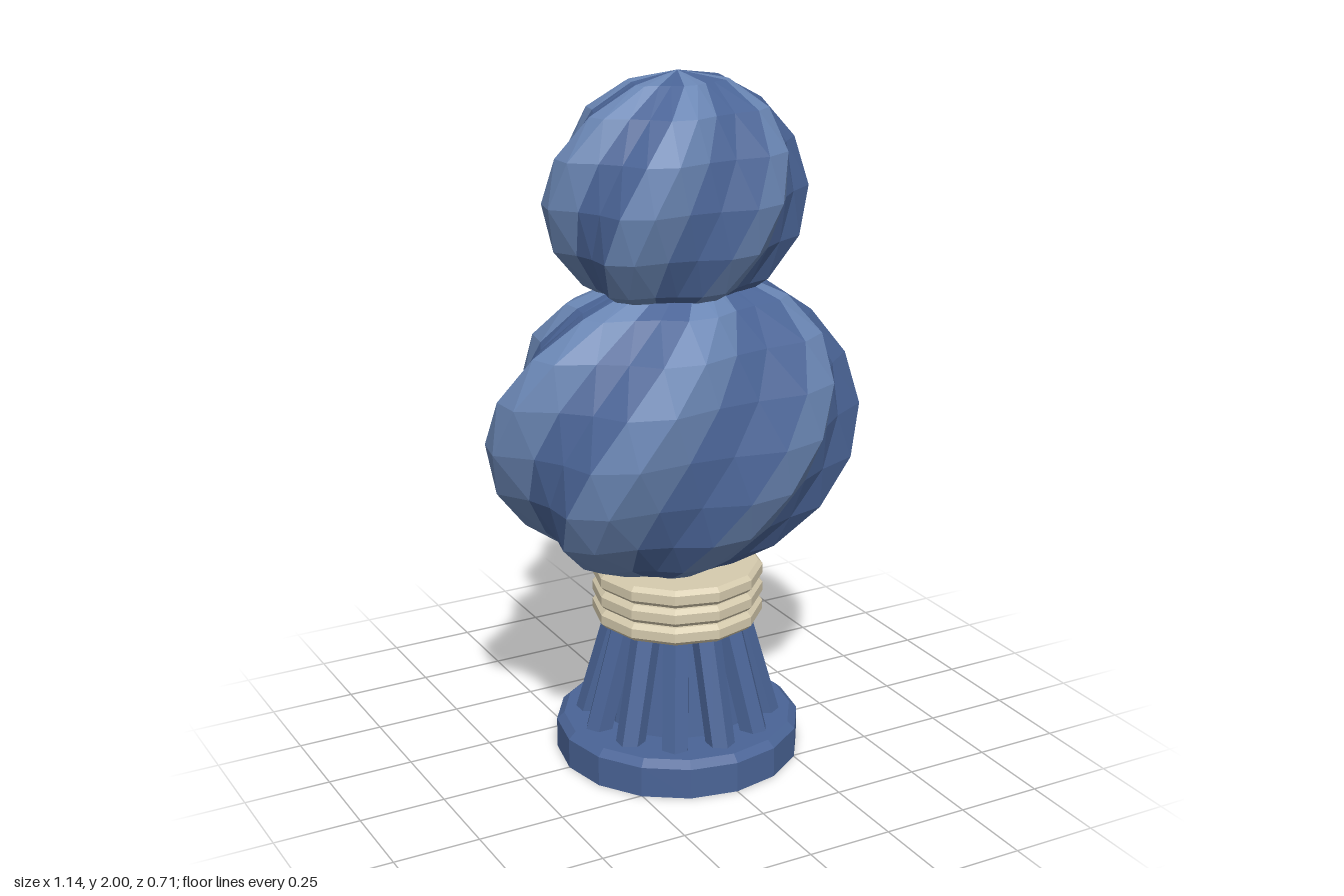
import * as THREE from 'three';

const faceted = (geo) => {
  const g = geo.index ? geo.toNonIndexed() : geo;
  g.computeVertexNormals();
  return g;
};

// Flattened ball with six winding ridges; material 1 marks the lighter stripes
function swirlBall(rows, rx, ry, rz) {
  const cols = 24, step = (Math.PI * 2) / cols, twist = 0.183;
  const geo = new THREE.SphereGeometry(1, cols, rows);
  const pos = geo.attributes.position;
  for (let j = 0; j <= rows; j++) {
    const lat = Math.PI / 2 - (j / rows) * Math.PI;
    for (let i = 0; i <= cols; i++) {
      const ridge = i % 4 === 0 || i % 4 === 3;
      const r = Math.cos(lat) * (ridge ? 1 : 0.88);
      const a = Math.PI - i * step + (j - rows / 2) * twist;
      pos.setXYZ(j * (cols + 1) + i, rx * r * Math.cos(a), ry * Math.sin(lat), rz * r * Math.sin(a));
    }
  }
  let start = 0;
  for (let j = 0; j < rows; j++) {
    const count = j === 0 || j === rows - 1 ? 3 : 6; // single triangles at the poles
    for (let i = 0; i < cols; i++, start += count) {
      geo.addGroup(start, count, i % 4 === 0 || i % 4 === 3 ? 1 : 0);
    }
  }
  return faceted(geo);
}

const lathe = (points, sides) =>
  faceted(new THREE.LatheGeometry(points.map(([r, y]) => new THREE.Vector2(r, y)), sides));

export function createModel() {
  const material = (name, color) => {
    const m = new THREE.MeshStandardMaterial({ color });
    m.name = name;
    return m;
  };
  const blue = material('slate blue', 0x4a6496);
  const paleBlue = material('pale blue', 0x6a86b4);
  const cream = material('cream', 0xd6cbae);

  const model = new THREE.Group();
  model.name = 'topiary';
  const add = (name, geo, mat, y = 0, parent = model) => {
    const mesh = new THREE.Mesh(geo, mat);
    mesh.name = name;
    mesh.position.y = y;
    parent.add(mesh);
    return mesh;
  };

  // Bevelled foot
  add('base', lathe([[0, 0], [0.357, 0], [0.357, 0.09], [0.335, 0.11], [0, 0.11]], 16), blue);

  // Ring of leaning struts round a core
  const struts = new THREE.Group();
  struts.name = 'struts';
  model.add(struts);
  add('core', faceted(new THREE.CylinderGeometry(0.15, 0.21, 0.36, 12)), blue, 0.27, struts);
  const up = new THREE.Vector3(0, 1, 0);
  for (let i = 0; i < 12; i++) {
    const a = (i / 12) * Math.PI * 2;
    const foot = new THREE.Vector3(Math.sin(a) * 0.262, 0.09, Math.cos(a) * 0.262);
    const head = new THREE.Vector3(Math.sin(a) * 0.16, 0.45, Math.cos(a) * 0.16);
    const dir = head.clone().sub(foot);
    const geo = faceted(new THREE.CylinderGeometry(0.042, 0.042, dir.length(), 6).rotateY(a));
    const strut = add('strut', geo, blue, 0, struts);
    strut.position.copy(foot).add(head).multiplyScalar(0.5);
    strut.quaternion.setFromUnitVectors(up, dir.normalize());
  }

  // Three stacked collar rings
  for (let i = 0; i < 3; i++) {
    add('collarRing', lathe([[0, 0], [0.234, 0], [0.247, 0.013], [0.247, 0.04], [0.234, 0.053], [0, 0.053]], 12),
      cream, 0.418 + i * 0.057);
  }

  // Swirled lower and upper crowns
  add('lowerCrown', swirlBall(10, 0.57, 0.45, 0.367), [blue, paleBlue], 1.0);
  add('upperCrown', swirlBall(8, 0.39, 0.34, 0.275), [blue, paleBlue], 1.66);

  return model;
}
